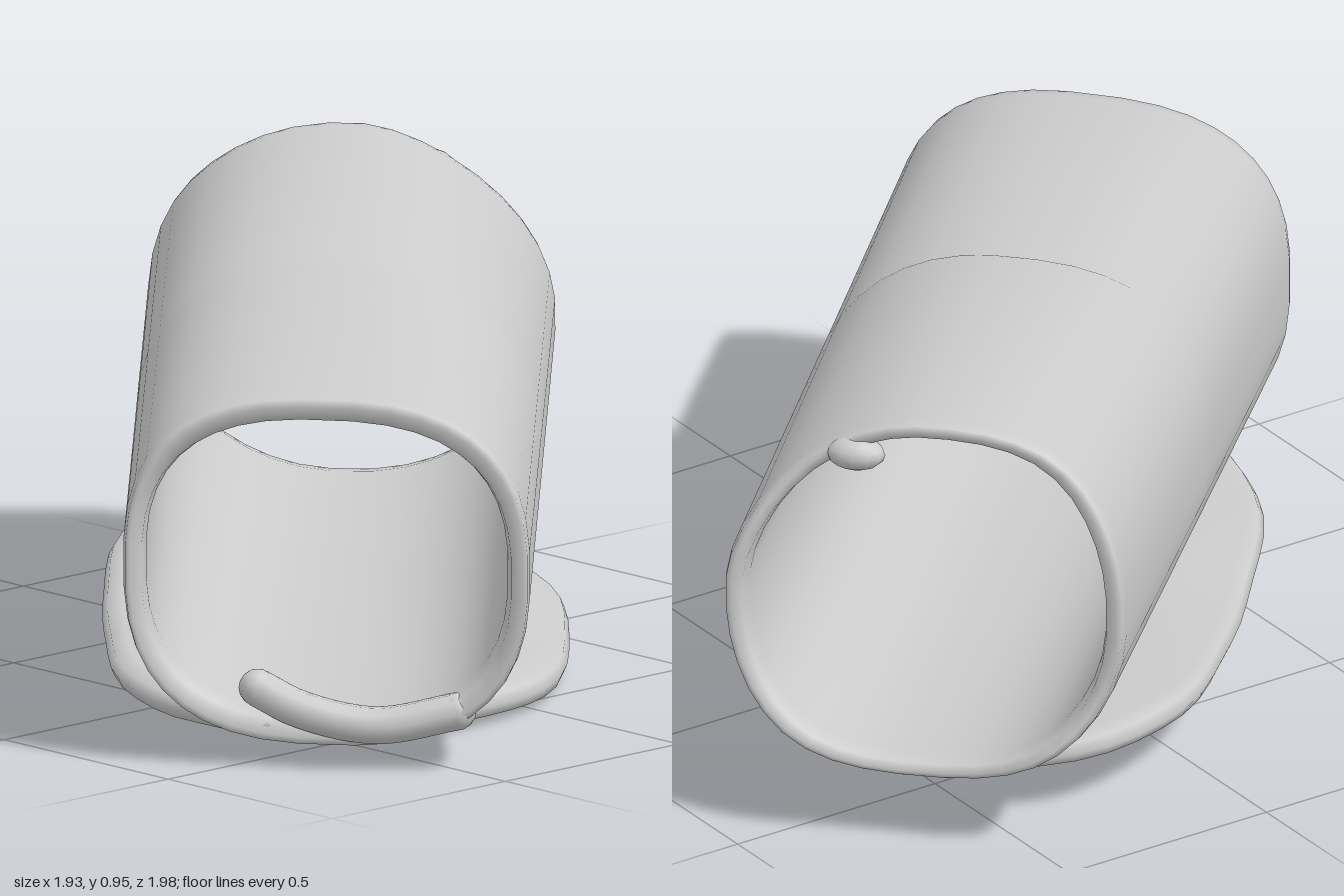
import * as THREE from 'three';

// Skin built from rings of points; every ring is closed, the row of rings may be too
function loft(rings, closed = false) {
  const n = rings[0].length, m = rings.length, index = [];
  for (let i = 0; i < (closed ? m : m - 1); i++) {
    for (let j = 0; j < n; j++) {
      const a = i * n + j, b = ((i + 1) % m) * n + j;
      const c = i * n + (j + 1) % n, d = ((i + 1) % m) * n + (j + 1) % n;
      index.push(a, b, c, b, d, c);
    }
  }
  const geometry = new THREE.BufferGeometry().setFromPoints(rings.flat());
  geometry.setIndex(index);
  geometry.computeVertexNormals();
  return geometry;
}

export function createModel() {
  const grey = new THREE.MeshStandardMaterial({ color: 0xcccccc });
  grey.name = 'light grey';
  const model = new THREE.Group();
  model.name = 'hollowRoll';
  model.rotation.y = Math.PI / 4;
  const add = (name, geometry) => {
    const mesh = new THREE.Mesh(geometry, grey);
    mesh.name = name;
    model.add(mesh);
    return mesh;
  };

  // Hollow tube: [position from near end 0 to far end 1, width factor, height factor], outside then inside
  const profile = [
    [0, 0.97, 0.95], [0.004, 0.99, 0.99], [0.02, 1, 1], [0.25, 1, 1], [0.485, 1, 1], [0.5, 1, 1],
    [0.75, 1, 1], [0.98, 1, 1], [0.996, 0.99, 0.99], [1, 0.96, 0.96], [0.994, 0.91, 0.92],
    [0.97, 0.89, 0.9], [0.75, 0.89, 0.89], [0.5, 0.89, 0.88], [0.25, 0.89, 0.86],
    [0.03, 0.89, 0.84], [0.006, 0.91, 0.87],
  ];
  const sides = 40;
  add('tube', loft(profile.map(([t, w, h]) => Array.from({ length: sides }, (_, j) => {
    const a = ((j + 0.5) / sides) * Math.PI * 2, cos = Math.cos(a), sin = Math.sin(a);
    // squarish section that flattens on the upper front toward the far end
    const power = 0.77 + 0.08 * t + (cos > 0 && sin > 0 ? 0.25 * t : 0);
    const c = Math.sign(cos) * Math.abs(cos) ** power, s = Math.sign(sin) * Math.abs(sin) ** power;
    // slanted near mouth, wavy far mouth that is set back at the top
    const near = -0.965 - 0.04 * c;
    const far = 0.97 - 0.045 * s + 0.012 * Math.sin(a * 5);
    const u = THREE.MathUtils.lerp(near, far, t);
    // the far half overlaps the near half along its upper back
    const r = h + (t > 0.49 ? 0.03 * Math.max(0, Math.cos(a - 1.9)) : 0);
    return new THREE.Vector3(u, 0.492 + 0.067 * u + (0.385 + 0.01 * u) * r * s, -0.025 + 0.428 * w * c);
  })), true));

  // Uneven pad under the tube, domed to meet it and reaching the near mouth on one side
  const outline = new THREE.CatmullRomCurve3([
    [0.84, -0.08], [0.79, -0.35], [0.55, -0.5], [0.2, -0.525], [-0.16, -0.51], [-0.5, -0.47],
    [-0.78, -0.33], [-0.95, -0.15], [-0.8, 0.06], [-0.57, 0.3], [-0.33, 0.43], [0.1, 0.455],
    [0.42, 0.41], [0.78, 0.17],
  ].map(([u, v]) => new THREE.Vector3(u, 0, v)), true).getPoints(48).slice(0, 48);
  const padRings = [[0.001, 0.08], [0.5, 0.08], [0.92, 0.064], [0.98, 0.054], [1, 0.032],
    [0.98, 0.01], [0.92, 0], [0.5, -0.014], [0.001, -0.015]];
  add('pad', loft(padRings.map(([f, h]) => outline.map((p) => {
    const u = p.x * f, v = p.z * f;
    const rise = Math.max(0, u) * (0.06 + 0.1 * Math.max(0, -v)) + 0.1 * Math.max(0, -u - 0.7);
    return new THREE.Vector3(u, 0.03 - 0.05 * v + rise + h, v);
  }))));

  // Curled lip across the bottom of the near mouth
  const lip = new THREE.CatmullRomCurve3([
    new THREE.Vector3(-0.92, 0.17, -0.17), new THREE.Vector3(-0.945, 0.13, -0.08),
    new THREE.Vector3(-0.96, 0.1, 0.08), new THREE.Vector3(-0.955, 0.13, 0.25),
  ]);
  add('mouthLip', new THREE.TubeGeometry(lip, 16, 0.04, 10));
  [0, 1].forEach((t) => {
    add('lipEnd', new THREE.SphereGeometry(0.04, 12, 8)).position.copy(lip.getPoint(t));
  });

  // Small nub on the upper far rim
  const nub = add('rimNub', new THREE.SphereGeometry(0.045, 12, 8));
  nub.position.set(0.91, 0.87, 0.13);
  nub.scale.set(0.9, 0.8, 1.4);

  return model;
}
